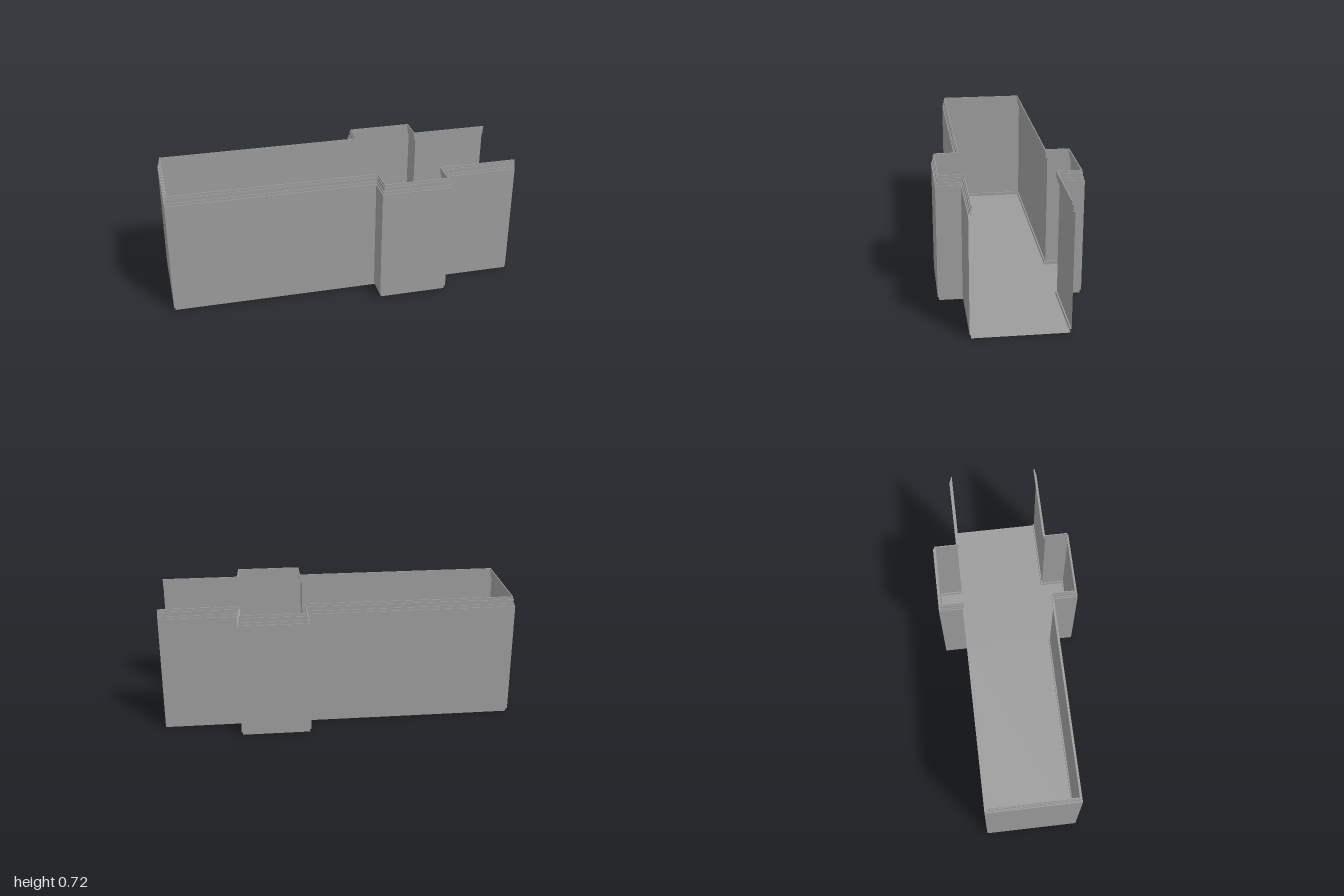
import * as THREE from 'three';

// Plan of the room: open at +x, with a bay on each side
const half = [[1, 0.262], [0.568, 0.262], [0.568, 0.398], [0.173, 0.398], [0.173, 0.262], [-1, 0.262]];
const plan = [...half, ...half.map(([x, z]) => [x, -z]).reverse()];

// Plan moved inwards by d, with mitred corners
function inset(d) {
  const normals = plan.slice(1).map(([x, z], i) => {
    const dx = x - plan[i][0], dz = z - plan[i][1], len = Math.hypot(dx, dz);
    return [-dz / len, dx / len];
  });
  return plan.map(([x, z], i) => {
    const sides = [normals[i - 1], normals[i]].filter(Boolean);
    return sides.reduce((p, n) => [p[0] + n[0] * d, p[1] + n[1] * d], [x, z]);
  });
}

// Thin surface that carries a profile of [inset, height] points along the plan
function sweep(profile) {
  const rings = profile.map(([d, y]) => inset(d).map(([x, z]) => [x, y, z]));
  const pos = [];
  for (let j = 0; j < rings.length - 1; j++) {
    for (let i = 0; i < plan.length - 1; i++) {
      const a = rings[j][i], b = rings[j][i + 1], c = rings[j + 1][i + 1], e = rings[j + 1][i];
      pos.push(...a, ...e, ...c, ...a, ...c, ...b);
    }
  }
  const g = new THREE.BufferGeometry();
  g.setAttribute('position', new THREE.Float32BufferAttribute(pos, 3));
  g.computeVertexNormals();
  return g;
}

export function createModel() {
  const room = new THREE.Group();
  room.name = 'room';
  const material = new THREE.MeshStandardMaterial({ color: 0x9c9c9c, side: THREE.DoubleSide });
  const add = (name, geometry) => {
    const mesh = new THREE.Mesh(geometry, material);
    mesh.name = name;
    room.add(mesh);
  };

  // Floor
  const shape = new THREE.Shape(inset(0.007).map(([x, z]) => new THREE.Vector2(x, -z)));
  add('floor', new THREE.ShapeGeometry(shape).rotateX(-Math.PI / 2));

  // Skirting with a flat top ledge
  add('skirting', sweep([[0.007, 0], [0.007, 0.02], [0, 0.02]]));

  // Walls
  add('walls', sweep([[0, 0.02], [0, 0.667]]));

  // Cornice, stepped on the outer and the inner side
  add('cornice', sweep([
    [0, 0.667], [0.005, 0.667], [0.005, 0.683], [0.009, 0.683], [0.009, 0.707], [0.013, 0.707], [0.013, 0.722],
    [0.018, 0.722], [0.018, 0.707], [0.014, 0.707], [0.014, 0.683], [0.011, 0.683], [0.011, 0.667], [0.005, 0.667],
  ]));

  return room;
}
